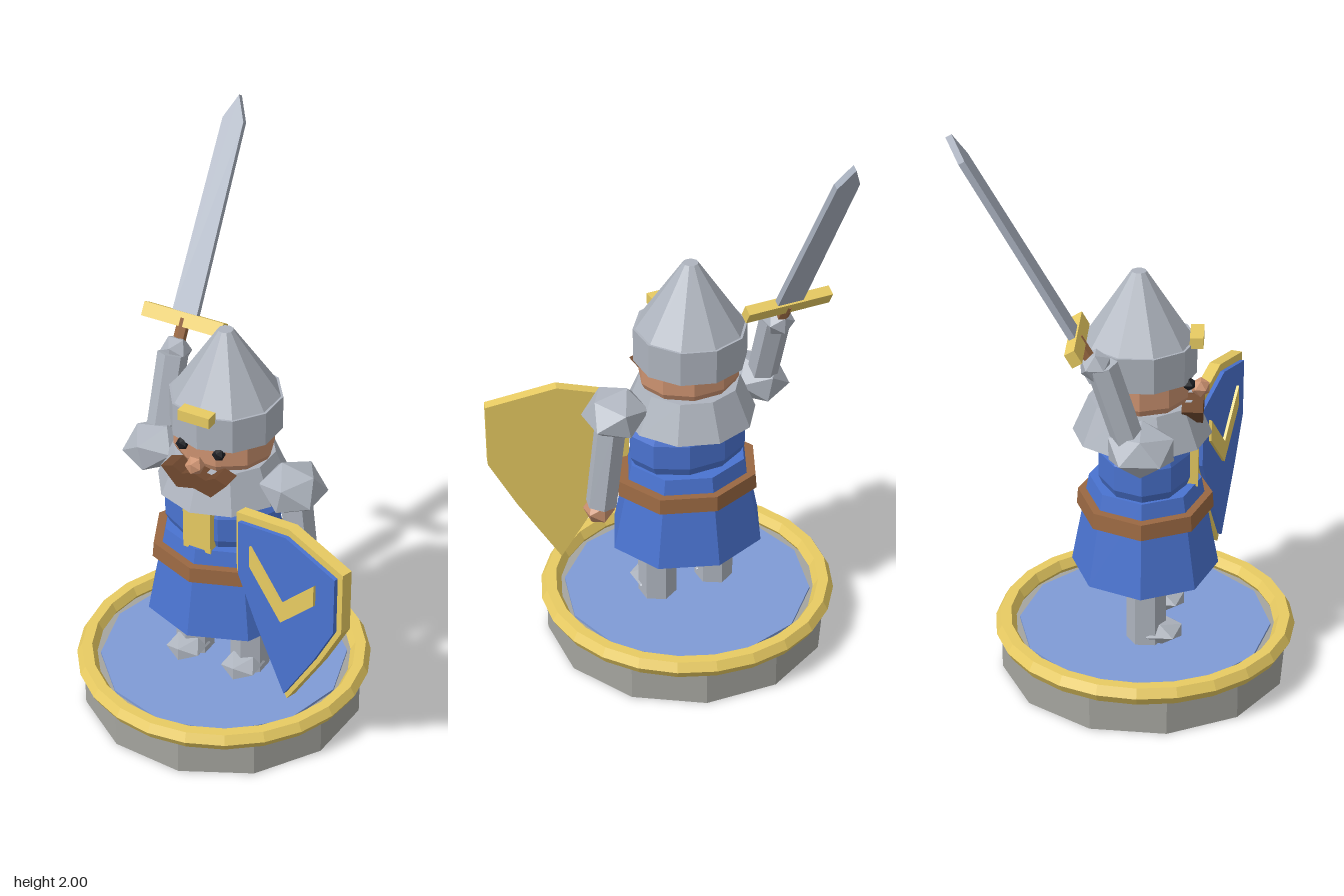
import * as THREE from 'three';

const mat = (color) => new THREE.MeshStandardMaterial({ color, flatShading: true, side: THREE.DoubleSide });
const STEEL = mat(0xaeb4be), STONE = mat(0xa5a59f), BLUE = mat(0x4a73d0), PALE = mat(0x7f9bd6);
const GOLD = mat(0xe8cb62), SKIN = mat(0xcc9270), LEATHER = mat(0x9a6842), HAIR = mat(0x70492f);
const BLADE = mat(0xaab2c0), BLACK = mat(0x1c1d22);
const CX = -0.055, CZ = 0.04; // axis of the figure and its plinth

export function createModel() {
  const model = new THREE.Group();
  model.name = 'knightFigurine';

  const add = (name, geometry, material, x = 0, y = 0, z = 0, parent = model) => {
    const mesh = new THREE.Mesh(geometry, material);
    mesh.name = name;
    mesh.position.set(x, y, z);
    parent.add(mesh);
    return mesh;
  };
  // Tapered prism between two heights, stretched in depth by sz
  const prism = (name, material, y0, y1, r0, r1, sides, sz = 1, z = CZ) => {
    const m = add(name, new THREE.CylinderGeometry(r1, r0, y1 - y0, sides), material, CX, (y0 + y1) / 2, z);
    m.scale.z = sz;
    return m;
  };
  // Faceted lump with separate radii
  const lump = (name, material, x, y, z, rx, ry = rx, rz = rx, geometry = new THREE.IcosahedronGeometry(1, 0)) => {
    const m = add(name, geometry, material, x, y, z);
    m.scale.set(rx, ry, rz);
    return m;
  };
  // Six-sided limb between two points
  const limb = (name, material, a, b, r) => {
    const from = new THREE.Vector3(...a), to = new THREE.Vector3(...b);
    const dir = to.clone().sub(from);
    const m = add(name, new THREE.CylinderGeometry(r, r, dir.length(), 6), material);
    m.position.copy(from).add(to).multiplyScalar(0.5);
    m.quaternion.setFromUnitVectors(new THREE.Vector3(0, 1, 0), dir.normalize());
    return m;
  };
  // Flat plate cut from an outline
  const plate = (points, depth) => new THREE.ExtrudeGeometry(
    new THREE.Shape(points.map(([x, y]) => new THREE.Vector2(x, y))), { depth, bevelEnabled: false });

  // Plinth
  prism('plinth', STONE, 0, 0.135, 0.5, 0.5, 12).rotation.y = 0.2;
  prism('plinthTop', PALE, 0.13, 0.145, 0.437, 0.437, 12);
  add('plinthRim', new THREE.TorusGeometry(0.485, 0.036, 6, 24), GOLD, CX, 0.15, CZ).rotation.x = Math.PI / 2;

  // Legs and boots
  for (const s of [-1, 1]) {
    const x = CX + s * 0.111;
    limb('leg', STEEL, [x, 0.14, 0.05], [x, 0.42, 0.05], 0.068);
    lump('boot', STEEL, x, 0.175, 0.1, 0.075, 0.045, 0.085);
  }

  // Tunic, belt and chest
  prism('skirt', BLUE, 0.385, 0.71, 0.28, 0.212, 8, 0.9);
  prism('belt', LEATHER, 0.6, 0.655, 0.262, 0.257, 8, 0.89);
  lump('chest', BLUE, CX, 0.785, CZ, 0.22, 0.2, 0.165, new THREE.SphereGeometry(1, 10, 7));
  add('tabard', new THREE.BoxGeometry(0.105, 0.18, 0.04), GOLD, CX, 0.79, 0.2);
  prism('mailCollar', STEEL, 0.88, 1.01, 0.23, 0.175, 10, 1.02, 0.03);

  // Head
  lump('head', SKIN, CX, 1.07, 0.03, 0.18, 0.17, 0.165, new THREE.SphereGeometry(1, 10, 7));
  for (const s of [-1, 1]) lump('eye', BLACK, CX + s * 0.069, 1.088, 0.187, 0.023);
  lump('nose', SKIN, CX, 1.045, 0.224, 0.034);
  add('moustache', plate([[0, 0.025], [0.045, 0.01], [0.08, 0.03], [0.125, 0.015], [0.065, -0.05],
    [0, -0.035], [-0.065, -0.05], [-0.125, 0.015], [-0.08, 0.03], [-0.045, 0.01]], 0.07), HAIR, CX, 0.995, 0.165);

  // Helmet
  prism('helmetBand', STEEL, 1.1, 1.222, 0.193, 0.193, 10, 1, 0.018);
  prism('helmetCone', STEEL, 1.22, 1.457, 0.186, 0.026, 10, 1, 0.018);
  add('helmetPlate', new THREE.BoxGeometry(0.117, 0.038, 0.045), GOLD, CX, 1.228, 0.21);

  // Shoulders, lowered left arm and raised right arm
  lump('rightPauldron', STEEL, -0.318, 0.94, CZ, 0.115, 0.085, 0.125).rotation.z = 0.2;
  lump('leftPauldron', STEEL, 0.215, 0.94, CZ, 0.115, 0.085, 0.125).rotation.z = -0.2;
  limb('leftArm', STEEL, [0.225, 0.93, 0.045], [0.268, 0.58, 0.05], 0.055);
  lump('leftHand', SKIN, 0.272, 0.555, 0.06, 0.056);
  limb('rightArm', STEEL, [-0.32, 0.94, 0.01], [-0.32, 1.235, -0.085], 0.053);
  lump('rightHand', STEEL, -0.32, 1.235, -0.105, 0.055);

  // Sword, leaning back
  const sword = new THREE.Group();
  sword.name = 'sword';
  sword.position.set(-0.32, 1.325, -0.163);
  sword.rotation.x = -Math.PI / 6;
  model.add(sword);
  add('grip', new THREE.CylinderGeometry(0.022, 0.022, 0.17, 6), LEATHER, 0, -0.08, 0, sword);
  add('guard', new THREE.BoxGeometry(0.31, 0.05, 0.036), GOLD, 0, 0, 0, sword);
  add('blade', plate([[-0.048, 0], [0.048, 0], [0.04, 0.69], [0, 0.775], [-0.04, 0.69]], 0.022),
    BLADE, 0, 0, -0.011, sword);

  // Shield, turned slightly to the figure's right
  const shield = new THREE.Group();
  shield.name = 'shield';
  shield.position.set(0.333, 0.62, 0.262);
  shield.rotation.y = -0.3;
  model.add(shield);
  const outline = [[0, 0.335], [-0.245, 0.28], [-0.245, 0.05], [-0.15, -0.125], [0, -0.365],
    [0.15, -0.125], [0.245, 0.05], [0.245, 0.28]];
  add('shieldBack', plate(outline, 0.04), GOLD, 0, 0, -0.02, shield);
  add('shieldFace', plate(outline.map(([x, y]) => [x * 0.91, y * 0.92]), 0.02), BLUE, 0, 0, 0.015, shield);
  add('chevron', plate([[-0.15, 0.195], [0, 0.045], [0.15, 0.195], [0.15, 0.115], [0, -0.035], [-0.15, 0.115]], 0.02),
    GOLD, -0.01, 0, 0.025, shield);

  return model;
}
